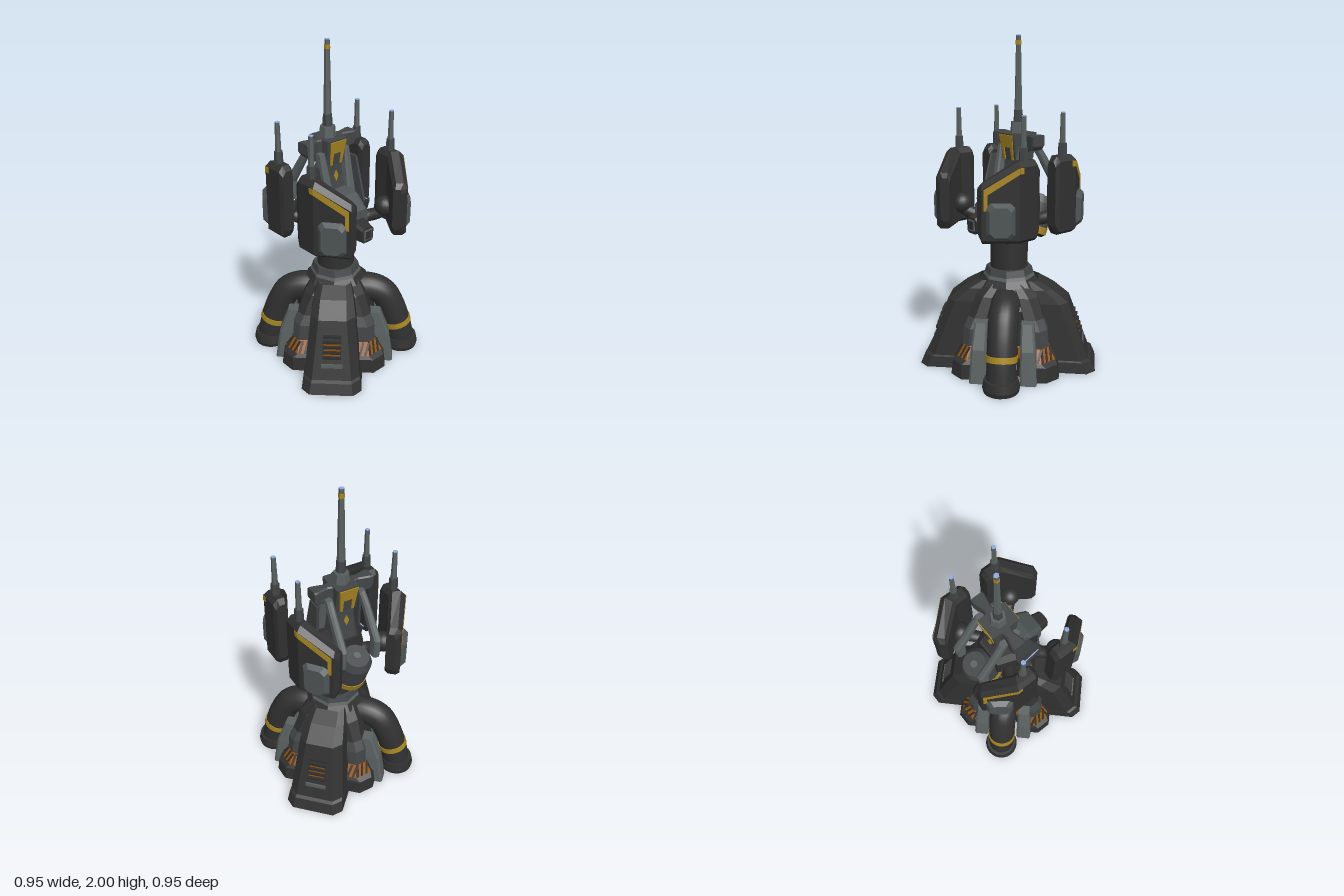
import * as THREE from 'three';

const mat = (name, color, side = THREE.FrontSide) => {
  const m = new THREE.MeshStandardMaterial({ color, side });
  m.name = name;
  return m;
};
const V = (x, y, z) => new THREE.Vector3(x, y, z);

// Rectangle with cut corners, as 2D points
const oct = (a0, a1, b0, b1, c) => [
  [a0 + c, b0], [a1 - c, b0], [a1, b0 + c], [a1, b1 - c],
  [a1 - c, b1], [a0 + c, b1], [a0, b1 - c], [a0, b0 + c]];

// Faceted solid or open shell through rings of equal point count, facing outward
function loft(rings, capped = true) {
  const sides = [], caps = [], n = rings[0].length, last = rings.length - 1;
  for (let i = 0; i < last; i++) {
    for (let j = 0; j < n; j++) {
      const k = (j + 1) % n, p = rings[i], q = rings[i + 1];
      sides.push([p[j], p[k], q[k]], [p[j], q[k], q[j]]);
    }
  }
  for (let j = 1; j < n - 1; j++) {
    caps.push([rings[0][0], rings[0][j + 1], rings[0][j]]);
    caps.push([rings[last][0], rings[last][j], rings[last][j + 1]]);
  }
  let volume = 0;
  for (const [a, b, c] of [...sides, ...caps]) volume += a.dot(b.clone().cross(c));
  const tris = capped ? [...sides, ...caps] : sides;
  const pts = tris.flatMap(([a, b, c]) => (volume < 0 ? [a, c, b] : [a, b, c]));
  const g = new THREE.BufferGeometry().setFromPoints(pts);
  g.computeVertexNormals();
  return g;
}
// Levels are [y, x0, x1, z0, z1, cut]
const loftY = (levels, capped) => loft(levels.map(([y, x0, x1, z0, z1, c]) =>
  oct(x0, x1, z0, z1, c).map(([x, z]) => V(x, y, z))), capped);
// Levels are [z, halfWidth, y0, y1, cut]
const loftZ = (levels) => loft(levels.map(([z, w, y0, y1, c]) =>
  oct(-w, w, y0, y1, c).map(([x, y]) => V(x, y, z))));

const box = (w, h, d, x, y, z) => new THREE.BoxGeometry(w, h, d).translate(x, y, z);
const cyl = (r1, r0, y0, y1, sides = 32, x = 0, z = 0, open = false) =>
  new THREE.CylinderGeometry(r1, r0, y1 - y0, sides, 1, open).translate(x, (y0 + y1) / 2, z);
const facet = (g) => {
  const f = g.toNonIndexed();
  f.computeVertexNormals();
  return f;
};
const plate = (pts, depth) => new THREE.ExtrudeGeometry(
  new THREE.Shape(pts.map(([x, y]) => new THREE.Vector2(x, y))), { depth, bevelEnabled: false });
const tube = (pts, r) => new THREE.TubeGeometry(
  new THREE.CatmullRomCurve3(pts.map((p) => V(...p))), 28, r, 20);

// Mirrored copy that keeps its faces turned outward
function mirror(geo, sx, sz) {
  const g = (geo.index ? geo.toNonIndexed() : geo.clone()).scale(sx, 1, sz);
  if (sx * sz < 0) {
    for (const a of Object.values(g.attributes)) {
      for (let i = 0; i < a.count; i += 3) {
        for (let k = 0; k < a.itemSize; k++) {
          const t = a.getComponent(i + 1, k);
          a.setComponent(i + 1, k, a.getComponent(i + 2, k));
          a.setComponent(i + 2, k, t);
        }
      }
    }
  }
  return g;
}

export function createModel() {
  const dark = mat('dark metal', 0x303030, THREE.DoubleSide), mid = mat('mid metal', 0x424546, THREE.DoubleSide);
  const grey = mat('grey metal', 0x5a6060), yellow = mat('yellow paint', 0xa88620);
  const worn = mat('worn metal', 0x4e5454);
  const orange = mat('orange paint', 0x9c5508, THREE.DoubleSide), blue = mat('blue light', 0x8fabe0);
  const root = new THREE.Group();
  root.name = 'antennaTower';

  const add = (parent, name, geo, material) => {
    const m = new THREE.Mesh(geo, material);
    m.name = name;
    parent.add(m);
  };
  const sub = (name, turn = 0) => {
    const g = new THREE.Group();
    g.name = name;
    g.rotation.y = turn;
    root.add(g);
    return g;
  };

  // Core, collar and neck
  const core = sub('core');
  add(core, 'baseCore', facet(cyl(0.25, 0.25, 0.18, 0.4, 8, 0, 0, true)), dark);
  add(core, 'coreHazardRing', cyl(0.25, 0.25, 0.11, 0.18, 32, 0, 0, true), orange);
  for (let i = 0; i < 20; i++) {
    add(core, 'coreHazardStripe', new THREE.CylinderGeometry(0.253, 0.253, 0.07, 2, 1, true,
      i * Math.PI / 10, Math.PI / 20).translate(0, 0.145, 0), dark);
  }
  add(core, 'baseShoulder', facet(cyl(0.15, 0.25, 0.4, 0.56, 8)), dark);
  add(core, 'collarSkirt', facet(cyl(0.16, 0.19, 0.52, 0.56, 8)), dark);
  add(core, 'collarRim', facet(cyl(0.152, 0.16, 0.56, 0.58, 8)), grey);
  add(core, 'collar', facet(cyl(0.14, 0.152, 0.58, 0.62, 8)), mid);
  add(core, 'column', cyl(0.115, 0.115, 0.6, 0.82), dark);
  add(core, 'neckFlare', facet(cyl(0.14, 0.115, 0.78, 0.83, 8)), dark);
  add(core, 'neckRing', facet(cyl(0.14, 0.14, 0.83, 0.85, 8)), mid);
  add(core, 'neckTop', facet(cyl(0.13, 0.14, 0.85, 0.92, 8)), dark);

  // Two large buttresses on one diagonal
  for (const turn of [-Math.PI / 4, Math.PI * 0.75]) {
    const g = sub('buttress', turn);
    add(g, 'buttressShell', loftY([
      [0, -0.182, 0.182, 0.08, 0.542, 0.05], [0.065, -0.172, 0.172, 0.08, 0.515, 0.05],
      [0.075, -0.168, 0.168, 0.08, 0.495, 0.05], [0.42, -0.135, 0.135, 0.05, 0.37, 0.05],
      [0.5, -0.12, 0.12, 0.05, 0.27, 0.04], [0.55, -0.1, 0.1, 0.05, 0.18, 0.03]], false), dark);
    for (let i = 0; i < 5; i++) {
      const y = 0.21 + i * 0.03, r = 0.5 - (y - 0.06) * 0.361;
      add(g, 'louvre', box(0.11, 0.018, 0.026, 0, y, r), dark);
      if (i < 3) add(g, 'ventSlot', box(0.1, 0.012, 0.008, 0, y + 0.015, r - 0.003), orange);
    }
    add(g, 'wearPlate', box(0.13, 0.03, 0.012, 0, 0.155, 0.464), grey);
  }

  // Two bent pipes on the other diagonal, each between two fins
  for (const turn of [Math.PI / 4, Math.PI * 1.25]) {
    const g = sub('pipeLeg', turn);
    add(g, 'pipe', tube([[0, 0.43, 0.08], [0, 0.435, 0.22], [0, 0.4, 0.3], [0, 0.31, 0.355],
      [0, 0.18, 0.4], [0, 0.04, 0.43]], 0.088), dark);
    add(g, 'pipeBand', cyl(0.093, 0.093, -0.018, 0.018).rotateX(-0.26).translate(0, 0.185, 0.398), yellow);
    add(g, 'pipeFlange', cyl(0.1, 0.11, 0.025, 0.075, 24, 0, 0.43, true), dark);
    add(g, 'pipeFoot', cyl(0.11, 0.104, 0, 0.025, 24, 0, 0.43, true), dark);
    add(g, 'flangeTop', new THREE.RingGeometry(0.07, 0.1, 24).rotateX(-Math.PI / 2).translate(0, 0.075, 0.43), dark);
    for (const s of [-1, 1]) {
      add(g, 'fin', mirror(loftY([[0, 0.1, 0.2, 0.17, 0.375, 0.012], [0.2, 0.1, 0.19, 0.17, 0.345, 0.012],
        [0.35, 0.1, 0.175, 0.17, 0.29, 0.01]]), s, 1), grey);
    }
  }

  // Four side lobes with sloping hazard bands
  for (let q = 0; q < 4; q++) {
    const g = sub('sideLobe', q * Math.PI / 2);
    add(g, 'lobeFoot', loftY([[0, -0.12, 0.12, 0.15, 0.41, 0.07],
      [0.09, -0.115, 0.115, 0.15, 0.4, 0.07], [0.11, -0.105, 0.105, 0.15, 0.372, 0.05]], false), dark);
    add(g, 'hazardBand', loftY([[0.11, -0.105, 0.105, 0.15, 0.372, 0.05],
      [0.185, -0.08, 0.08, 0.15, 0.335, 0.05]], false), orange);
    // Slanted stripes on the front and both cut corners: [turn, distance, lean, offsets]
    for (const [turn, d, lean, xs] of [[0, 0.105, 0.458, [-0.052, -0.018, 0.016]],
      [-Math.PI / 4, 0.1131, 0.53, [-0.03, 0.004]], [Math.PI / 4, 0.1131, 0.53, [-0.03, 0.004]]]) {
      for (const x of xs) {
        add(g, 'hazardStripe', plate([[x, 0.001], [x + 0.015, 0.001], [x + 0.035, 0.082],
          [x + 0.02, 0.082]], 0.004).rotateX(-lean).translate(0, 0.11, d - 0.001)
          .rotateY(turn).translate(0, 0, 0.267), dark);
      }
    }
    add(g, 'lobeCap', loftY([[0.185, -0.08, 0.08, 0.15, 0.335, 0.05],
      [0.29, -0.08, 0.08, 0.15, 0.325, 0.05], [0.35, -0.08, 0.08, 0.14, 0.29, 0.05]], false), mid);
    add(g, 'lobeShoulder', loftY([[0.35, -0.08, 0.08, 0.14, 0.29, 0.05],
      [0.47, -0.075, 0.075, 0.1, 0.23, 0.04], [0.54, -0.07, 0.07, 0.08, 0.16, 0.03]], false), dark);
  }

  // Head body and snout
  const head = sub('head');
  add(head, 'headBody', loftZ([[-0.16, 0.1, 0.88, 1.08, 0.03], [-0.04, 0.15, 0.88, 1.1, 0.04],
    [0.09, 0.14, 0.88, 1.08, 0.04], [0.16, 0.09, 0.88, 1.02, 0.03]]), dark);
  add(head, 'snout', loftZ([[0.02, 0.1, 0.9, 1.13, 0.02], [0.1, 0.095, 0.88, 1.11, 0.025],
    [0.2, 0.075, 0.87, 1.04, 0.02]]), worn);
  add(head, 'snoutTip', loftZ([[0.19, 0.055, 0.87, 0.99, 0.015], [0.28, 0.045, 0.87, 0.965, 0.015]]), dark);
  add(head, 'snoutFrame', box(0.06, 0.065, 0.008, 0, 0.92, 0.282), grey);
  add(head, 'snoutLens', box(0.044, 0.048, 0.008, 0, 0.92, 0.286), dark);

  // Mast column, crossbar and painted trim
  add(head, 'mastColumn', loftY([[1.0, -0.08, 0.08, -0.16, 0.04, 0.02],
    [1.2, -0.065, 0.065, -0.13, 0.0, 0.015], [1.4, -0.055, 0.055, -0.12, -0.01, 0.015]]), mid);
  for (const s of [-1, 1]) {
    add(head, 'crossbarArm', loft([[0.05, 0.035, 1.31], [0.1, 0.025, 1.34], [0.17, 0.042, 1.345], [0.19, 0.042, 1.37]]
      .map(([x, w, b]) => oct(-0.07 - w, -0.07 + w, b, 1.435, 0.008).map(([z, y]) => V(s * x, y, z)))), mid);
    add(head, 'frontRail', mirror(loftY([[1.08, 0.055, 0.115, 0.0, 0.06, 0.01],
      [1.36, 0.075, 0.115, -0.06, 0.0, 0.01]]), s, 1), grey);
    add(head, 'sidePlate', mirror(loftY([[1.02, 0.135, 0.15, -0.05, 0.11, 0.004],
      [1.3, 0.135, 0.15, -0.06, 0.03, 0.004]]), s, 1), mid);
    add(head, 'headFlank', mirror(loftY([[0.91, 0.1, 0.16, -0.04, 0.11, 0.02],
      [1.03, 0.1, 0.19, -0.05, 0.12, 0.02]]), s, 1), dark);
    add(head, 'flankLight', box(0.007, 0.004, 0.14, 0, 0, 0).rotateY(-s * 0.1)
      .translate(s * 0.174, 1.03, 0.03), blue);
    add(head, 'rearHorn', mirror(loftY([[1.0, 0.09, 0.135, -0.3, -0.24, 0.012],
      [1.12, 0.09, 0.135, -0.31, -0.24, 0.012], [1.3, 0.09, 0.13, -0.19, -0.13, 0.012],
      [1.37, 0.085, 0.125, -0.14, -0.08, 0.012]]), s, 1), grey);
  }
  add(head, 'crossbarCentre', loftY([[1.28, -0.07, 0.07, -0.135, 0.0, 0.008],
    [1.435, -0.07, 0.07, -0.16, 0.025, 0.008]]), mid);
  const trim = plate([[-0.06, 0.15], [-0.045, 0], [-0.028, 0], [-0.028, 0.075],
    [0.028, 0.075], [0.028, 0], [0.045, 0], [0.06, 0.15]], 0.006).rotateX(0.16);
  const spot = plate([[0, 1.17], [0.016, 1.205], [0, 1.24], [-0.016, 1.205]], 0.008);
  for (const [s, z, zs] of [[1, 0, 0], [-1, -0.135, -0.131]]) {
    add(head, 'mastTrim', mirror(trim, 1, s).translate(0, 1.28, z), yellow);
    add(head, 'mastSpot', mirror(spot, 1, s).translate(0, 0, zs), yellow);
  }

  // Tilted drum at the back
  const drum = new THREE.Group();
  drum.name = 'rearDrum';
  drum.position.set(0, 0.81, -0.165);
  drum.rotation.x = -0.4;
  head.add(drum);
  add(drum, 'drumBottom', cyl(0.1, 0.08, -0.018, 0), dark);
  add(drum, 'drumBand', cyl(0.104, 0.104, 0, 0.045), yellow);
  add(drum, 'drumBody', cyl(0.1, 0.1, 0.045, 0.19), mid);
  add(drum, 'drumShoulder', cyl(0.075, 0.1, 0.19, 0.235), mid);
  add(drum, 'drumCap', cyl(0.022, 0.022, 0.235, 0.243, 16), grey);

  // Main antenna
  const az = -0.07;
  add(head, 'antennaBase', facet(cyl(0.045, 0.052, 1.42, 1.5, 6, 0, az)), grey);
  add(head, 'antennaSleeve', facet(cyl(0.027, 0.03, 1.5, 1.57, 6, 0, az)), mid);
  add(head, 'antennaRod', facet(cyl(0.015, 0.024, 1.57, 1.996, 6, 0, az)), grey);
  add(head, 'antennaBand', facet(cyl(0.0175, 0.018, 1.945, 1.97, 6, 0, az)), yellow);
  add(head, 'antennaTip', facet(cyl(0.015, 0.015, 1.994, 2, 6, 0, az)), blue);

  // Bent armour pods, one per corner: stations are [outer x, z, inner x, z, bottom, top]
  const pod = loft([
    [0.345, 0.06, 0.275, 0.06, 0.92, 1.3], [0.355, 0.085, 0.265, 0.085, 0.87, 1.33],
    [0.355, 0.21, 0.265, 0.165, 0.87, 1.33], [0.225, 0.375, 0.16, 0.315, 0.87, 1.21],
    [0.185, 0.375, 0.145, 0.335, 0.92, 1.18],
  ].map(([ox, oz, ix, iz, b, t]) => {
    const at = (k, y) => V(ox + (ix - ox) * k, y, oz + (iz - oz) * k);
    return [at(0.25, b), at(0, b + 0.02), at(0, t - 0.03), at(0.3, t), at(0.8, t),
      at(1, t - 0.03), at(1, b + 0.02), at(0.8, b)];
  }));
  // Places a plate drawn in (distance along, height) on the slanted outer pod face
  const onFace = (geo) => geo.applyMatrix4(new THREE.Matrix4().makeBasis(
    V(0.619, 0, -0.786), V(0, 1, 0), V(0.786, 0, 0.619)).setPosition(0.225, 0, 0.375));
  const stripe = onFace(plate([[0.012, 1.06], [0.034, 1.06], [0.034, 1.15], [0.209, 1.262],
    [0.209, 1.298], [0.012, 1.178]], 0.007).translate(0, 0, -0.004));
  const panel = onFace(loft([[0, 0.005], [0.03, 0.025]].map(([z, inset]) =>
    oct(0.02 + inset, 0.19 - inset, 0.89 + inset, 1.11 - inset, 0.025).map(([x, y]) => V(x, y, z)))));
  const corner = [
    ['podShell', pod, dark],
    ['podStripe', stripe, yellow],
    ['podStripeEnd', box(0.006, 0.034, 0.03, 0.355, 1.281, 0.196), yellow],
    ['podPanel', panel, worn],
    ['podArm', tube([[0.26, 1.02, 0.17], [0.21, 0.96, 0.17], [0.16, 0.93, 0.12], [0.06, 0.92, 0.05]], 0.038), dark],
    ['podJoint', new THREE.SphereGeometry(0.062, 18, 12).translate(0.225, 1.0, 0.19), dark],
    ['podAntennaBase', facet(cyl(0.025, 0.028, 1.31, 1.4, 6, 0.307, 0.145)), mid],
    ['podAntennaRod', facet(cyl(0.014, 0.018, 1.4, 1.57, 6, 0.307, 0.145)), grey],
    ['podAntennaTip', facet(cyl(0.014, 0.014, 1.569, 1.575, 6, 0.307, 0.145)), blue],
  ];
  for (const sx of [-1, 1]) {
    for (const sz of [-1, 1]) {
      const g = sub('armourPod');
      for (const [name, geo, material] of corner) add(g, name, mirror(geo, sx, sz), material);
    }
  }
  return root;
}
